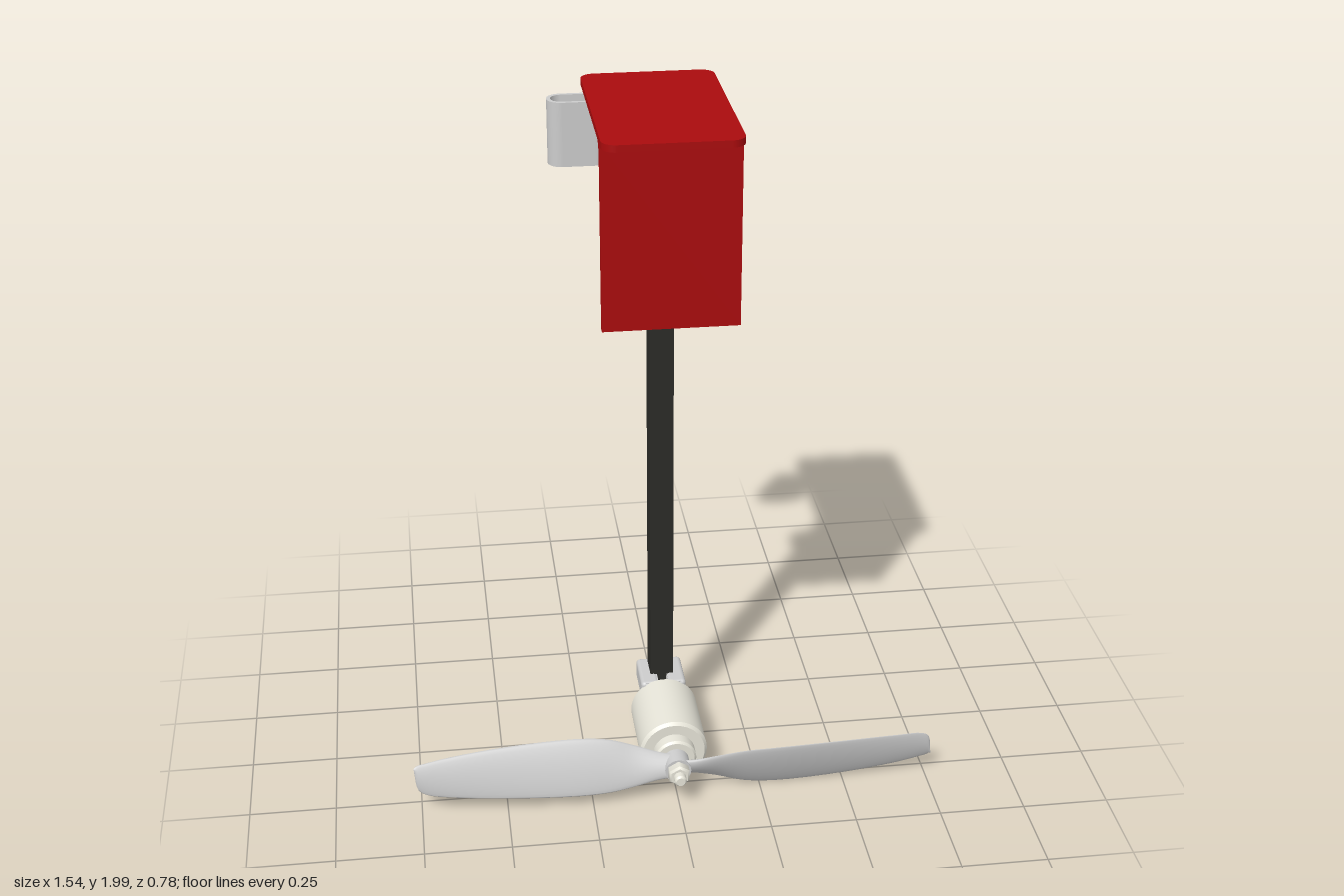
import * as THREE from 'three';
import { RoundedBoxGeometry } from 'three/addons/geometries/RoundedBoxGeometry.js';

const red = new THREE.MeshStandardMaterial({ color: 0xaa0b0d });
const redFlat = new THREE.MeshStandardMaterial({ color: 0xaa0b0d, flatShading: true });
const dark = new THREE.MeshStandardMaterial({ color: 0x2b2b27 });
const cream = new THREE.MeshStandardMaterial({ color: 0xe6e4d8 });
const grey = new THREE.MeshStandardMaterial({ color: 0xcccccc });

const POST_Z = -0.085, MOTOR_Y = 0.11;

export function createModel() {
  const model = new THREE.Group();

  function add(name, geometry, material, x = 0, y = 0, z = 0, parent = model) {
    const mesh = new THREE.Mesh(geometry, material);
    mesh.name = name;
    mesh.position.set(x, y, z);
    parent.add(mesh);
    return mesh;
  }
  const box = (name, mat, w, h, d, x, y, z, parent) =>
    add(name, new THREE.BoxGeometry(w, h, d), mat, x, y, z, parent);

  // Plan outline (x, -z) raised along y
  const extrudeUp = (shape, height) =>
    new THREE.ExtrudeGeometry(shape, { depth: height, bevelEnabled: false, curveSegments: 10 }).rotateX(-Math.PI / 2);

  // Side outline (z, y) spread across x
  const extrudeAcross = (shape, width) =>
    new THREE.ExtrudeGeometry(shape, { depth: width, bevelEnabled: false, curveSegments: 10 })
      .translate(0, 0, -width / 2).rotateY(-Math.PI / 2);

  function roundedRect(x0, y0, x1, y1, r, Type = THREE.Shape) {
    const s = new Type();
    s.absarc(x1 - r, y1 - r, r, 0, Math.PI / 2);
    s.absarc(x0 + r, y1 - r, r, Math.PI / 2, Math.PI);
    s.absarc(x0 + r, y0 + r, r, Math.PI, Math.PI * 1.5);
    s.absarc(x1 - r, y0 + r, r, Math.PI * 1.5, Math.PI * 2);
    s.closePath();
    return s;
  }

  // Concave corner filler between two walls
  function cornerFillet(u, v, ru, rv) {
    const s = new THREE.Shape();
    s.moveTo(u, v);
    s.lineTo(u + ru, v);
    s.quadraticCurveTo(u, v, u, v + rv);
    s.closePath();
    return s;
  }

  // Mounting bracket: top plate, front plate flowing into a web, fillets
  add('topPlate', extrudeUp(roundedRect(-0.19, -0.23, 0.19, 0.39, 0.04), 0.02), red, 0, 1.98, 0);
  const plan = new THREE.Shape();
  plan.moveTo(-0.19, -0.165);
  plan.lineTo(0.19, -0.165);
  plan.lineTo(0.19, -0.142);
  plan.lineTo(0.08, -0.142);
  plan.quadraticCurveTo(0.02, -0.142, 0.02, -0.08);
  plan.lineTo(0.02, 0.06);
  plan.lineTo(-0.02, 0.06);
  plan.lineTo(-0.02, -0.08);
  plan.quadraticCurveTo(-0.02, -0.142, -0.08, -0.142);
  plan.lineTo(-0.19, -0.142);
  plan.closePath();
  add('frontPlateAndWeb', extrudeUp(plan, 0.535), red, 0, 1.45, 0);
  add('frontPlateFillet', extrudeAcross(cornerFillet(0.143, 1.981, -0.05, -0.05), 0.38), red);
  add('rearGusset', extrudeAcross(cornerFillet(-0.15, 1.981, -0.04, -0.06), 0.1), red);

  // Square sleeve with chamfered collars around the post
  function squareRing(name, bottom, top, y0, y1) {
    const g = new THREE.CylinderGeometry(top * Math.SQRT2, bottom * Math.SQRT2, y1 - y0, 4).rotateY(Math.PI / 4);
    add(name, g, redFlat, 0, (y0 + y1) / 2, POST_Z);
  }
  squareRing('sleeve', 0.044, 0.044, 1.45, 1.98);
  squareRing('lowerCollar', 0.072, 0.072, 1.45, 1.52);
  squareRing('lowerCollarChamfer', 0.072, 0.044, 1.52, 1.55);
  squareRing('upperCollarChamfer', 0.044, 0.07, 1.8, 1.83);
  squareRing('upperCollar', 0.07, 0.07, 1.83, 1.985);

  // Post
  box('post', dark, 0.07, 1.4, 0.07, 0, 0.75, POST_Z);

  // Slightly turned latch bar with a round boss under the plate
  const latch = new THREE.Group();
  latch.name = 'latch';
  latch.position.set(0, 0, -0.256);
  latch.rotation.y = 0.09;
  model.add(latch);
  add('latchBar', extrudeUp(roundedRect(-0.16, -0.044, 0.194, 0.044, 0.01), 0.034), grey, 0, 1.945, 0, latch);
  const boss = [[0, 1.9], [0.034, 1.9], [0.043, 1.91], [0.043, 1.95]].map(p => new THREE.Vector2(...p));
  add('latchBoss', new THREE.LatheGeometry(boss, 32), grey, 0, 0, 0, latch);

  // Open oval handle, joined to the bar by a curved neck
  const oval = roundedRect(-0.296, 0.198, -0.125, 0.282, 0.04);
  oval.holes.push(roundedRect(-0.285, 0.209, -0.136, 0.271, 0.03, THREE.Path));
  add('handleTube', extrudeUp(oval, 0.185), grey, 0, 1.795, 0);
  const neck = new THREE.ExtrudeGeometry(cornerFillet(-0.128, 1.947, 0.05, -0.06),
    { depth: 0.05, bevelEnabled: false, curveSegments: 10 });
  add('handleNeck', neck, grey, 0, 0, -0.267);

  // Clamp: two ribbed halves holding the foot of the post
  for (const side of [-1, 1]) {
    const half = new THREE.Group();
    half.name = side > 0 ? 'leftClamp' : 'rightClamp';
    model.add(half);
    box('clampCore', grey, 0.04, 0.18, 0.135, side * 0.035, MOTOR_Y, -0.07, half);
    for (const dy of [-0.06, 0.06])
      add('clampRib', new RoundedBoxGeometry(0.055, 0.065, 0.145, 3, 0.012), grey, side * 0.041, MOTOR_Y + dy, -0.0725, half);
    const screw = new THREE.CylinderGeometry(0.012, 0.012, 0.01, 16).rotateZ(Math.PI / 2);
    add('clampScrew', screw, dark, side * 0.057, MOTOR_Y, POST_Z, half);
  }

  // Turned parts along z; each step has its own sharp edges
  function turned(name, material, points, segments = 48) {
    for (let i = 0; i < points.length - 1; i++) {
      const pair = [points[i], points[i + 1]].map(([r, z]) => new THREE.Vector2(r, z));
      add(name, new THREE.LatheGeometry(pair, segments).rotateX(Math.PI / 2), material, 0, MOTOR_Y, 0);
    }
  }
  turned('motorBody', cream, [[0, -0.012], [0.092, -0.012], [0.1, -0.004], [0.1, 0.226], [0.092, 0.236], [0, 0.236]]);
  turned('motorNose', cream, [[0.062, 0.234], [0.062, 0.27], [0.056, 0.277], [0, 0.277]]);
  turned('propellerHub', grey, [[0.038, 0.27], [0.038, 0.335], [0, 0.335]], 32);
  turned('propellerNut', cream, [[0.034, 0.333], [0.034, 0.358], [0.028, 0.365], [0, 0.365]], 6);
  turned('shaftTip', cream, [[0.018, 0.36], [0.018, 0.384], [0.013, 0.39], [0, 0.39]], 24);

  // Propeller blade: radius, lower edge y, upper edge y, lower edge z, upper edge z, half thickness
  const stations = [
    [0.0, -0.03, 0.03, 0.293, 0.322, 0.012],
    [0.05, -0.04, 0.03, 0.288, 0.326, 0.011],
    [0.12, -0.063, 0.043, 0.279, 0.332, 0.009],
    [0.2, -0.09, 0.056, 0.277, 0.337, 0.007],
    [0.3, -0.1, 0.06, 0.277, 0.338, 0.006],
    [0.5, -0.09, 0.058, 0.277, 0.325, 0.005],
    [0.66, -0.069, 0.052, 0.277, 0.308, 0.004],
    [0.735, -0.053, 0.044, 0.277, 0.296, 0.003],
    [0.758, -0.047, 0.028, 0.277, 0.291, 0.002],
    [0.768, -0.04, -0.03, 0.278, 0.281, 0.001],
  ];
  function bladeGeometry() {
    const around = 20, steps = 4, position = [], index = [];
    const rows = (stations.length - 1) * steps;
    const curveA = new THREE.CatmullRomCurve3(stations.map(s => new THREE.Vector3(s[0], s[1], s[3])));
    const curveB = new THREE.CatmullRomCurve3(stations.map(s => new THREE.Vector3(s[0], s[2], s[4])));
    for (let i = 0; i <= rows; i++) {
      const low = curveA.getPoint(i / rows), high = curveB.getPoint(i / rows);
      const k = Math.min(Math.floor(i / steps), stations.length - 2);
      const thick = THREE.MathUtils.lerp(stations[k][5], stations[k + 1][5], i / steps - k);
      for (let j = 0; j < around; j++) {
        const a = j / around * Math.PI * 2;
        const p = low.clone().lerp(high, 0.5 + 0.5 * Math.cos(a));
        const camber = 0.006 * Math.sin(a) ** 2;
        position.push(p.x, p.y, p.z + Math.sin(a) * thick + camber);
        if (i < rows) {
          const n = (j + 1) % around, r = i * around, q = r + around;
          index.push(r + j, r + n, q + j, r + n, q + n, q + j);
        }
      }
    }
    const g = new THREE.BufferGeometry();
    g.setAttribute('position', new THREE.Float32BufferAttribute(position, 3));
    g.setIndex(index);
    g.computeVertexNormals();
    return g;
  }
  const blade = bladeGeometry();
  add('leftBlade', blade, grey, 0, MOTOR_Y, 0);
  add('rightBlade', blade, grey, 0, MOTOR_Y, 0).rotation.z = Math.PI;

  return model;
}
